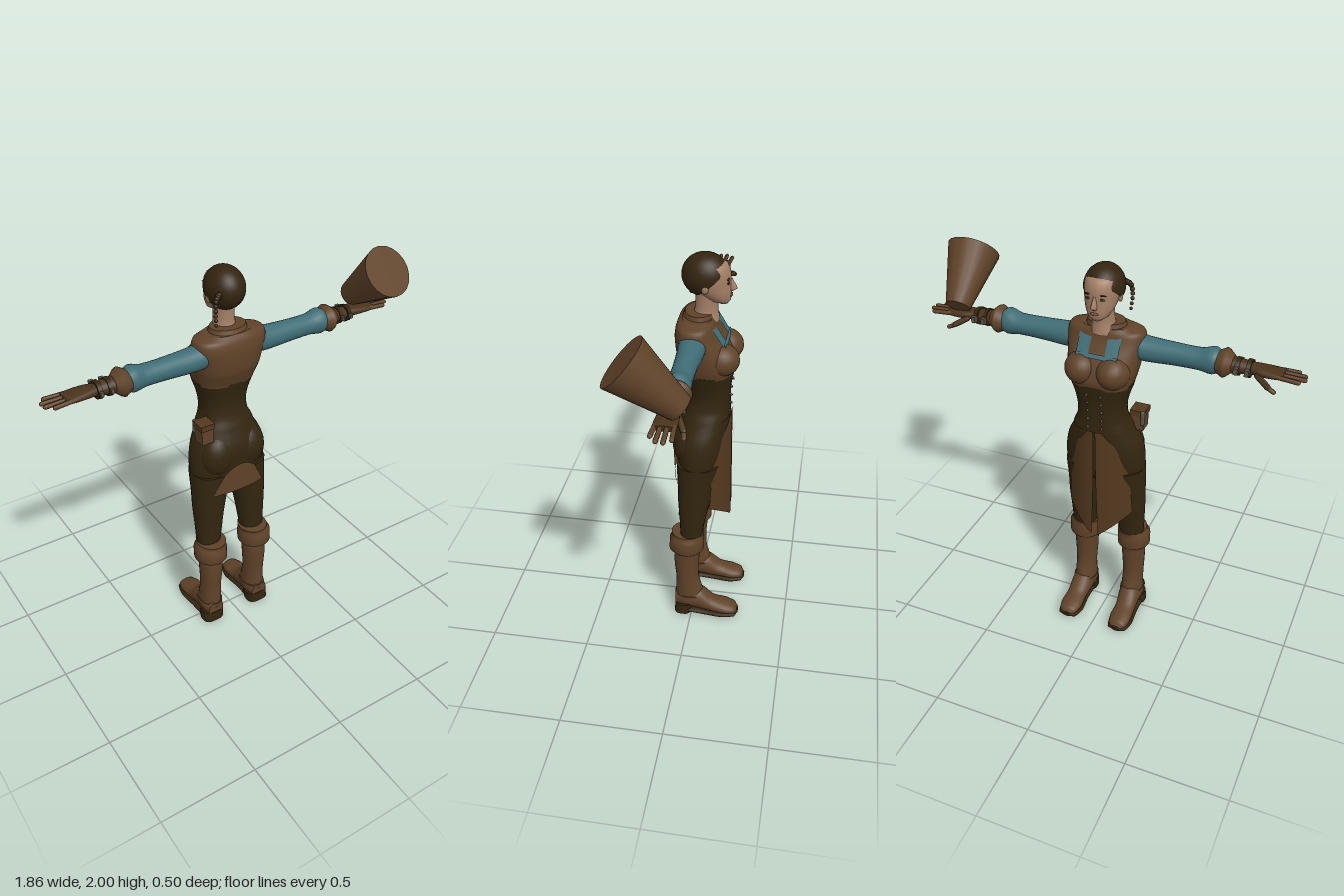
import * as THREE from 'three';

const material = (name, color, side = THREE.FrontSide) => {
  const m = new THREE.MeshStandardMaterial({ color, side });
  m.name = name;
  return m;
};

// Skin of superelliptic rings [t, u0, u1, v0, v1] along an axis (t ascending).
// Axis x: u = y, v = z.  Axis y: u = z, v = x.  Axis z: u = x, v = y.
function loft(axis, rings, { seg = 24, pow = 2, sub = 3 } = {}) {
  const rows = [];
  const at = (i) => rings[Math.max(0, Math.min(rings.length - 1, i))];
  for (let i = 0; i < rings.length - 1; i++) {
    for (let k = 0; k < sub; k++) {
      const f = k / sub;
      rows.push(rings[i].map((p1, c) => {
        const p2 = at(i + 1)[c];
        if (c === 0 || sub === 1) return p1 + (p2 - p1) * f;
        const m1 = (p2 - at(i - 1)[c]) / 2, m2 = (at(i + 2)[c] - p1) / 2;
        const f2 = f * f, f3 = f2 * f;
        return (2 * f3 - 3 * f2 + 1) * p1 + (f3 - 2 * f2 + f) * m1 + (3 * f2 - 2 * f3) * p2 + (f3 - f2) * m2;
      }));
    }
  }
  rows.push(rings[rings.length - 1]);
  const pos = [], idx = [];
  const put = (t, u, v) => pos.push(...(axis === 'x' ? [t, u, v] : axis === 'y' ? [v, t, u] : [u, v, t]));
  const bend = (c) => Math.sign(c) * Math.pow(Math.abs(c), 2 / pow);
  const ring = ([t, u0, u1, v0, v1]) => {
    for (let j = 0; j < seg; j++) {
      const a = (j / seg) * Math.PI * 2;
      put(t, (u0 + u1) / 2 + ((u1 - u0) / 2) * bend(Math.cos(a)), (v0 + v1) / 2 + ((v1 - v0) / 2) * bend(Math.sin(a)));
    }
  };
  rows.forEach(ring);
  for (let i = 0; i < rows.length - 1; i++) {
    for (let j = 0; j < seg; j++) {
      const a = i * seg + j, b = i * seg + ((j + 1) % seg);
      idx.push(a, b, b + seg, a, b + seg, a + seg);
    }
  }
  for (const [r, flip] of [[rows[0], true], [rows[rows.length - 1], false]]) {
    const start = pos.length / 3;
    ring(r);
    put(r[0], (r[1] + r[2]) / 2, (r[3] + r[4]) / 2);
    for (let j = 0; j < seg; j++) {
      const a = start + j, b = start + ((j + 1) % seg);
      idx.push(start + seg, flip ? b : a, flip ? a : b);
    }
  }
  return surface(pos, idx);
}

function surface(pos, idx) {
  const g = new THREE.BufferGeometry();
  g.setAttribute('position', new THREE.Float32BufferAttribute(pos, 3));
  g.setIndex(idx);
  g.computeVertexNormals();
  return g;
}

// Cloth sheet from a rule f(u, v) -> [x, y, z]
function panel(f, n = 12) {
  const pos = [], idx = [];
  for (let i = 0; i <= n; i++) for (let j = 0; j <= n; j++) pos.push(...f(j / n, i / n));
  for (let i = 0; i < n; i++) {
    for (let j = 0; j < n; j++) {
      const a = i * (n + 1) + j, b = a + n + 1;
      idx.push(a, a + 1, b + 1, a, b + 1, b);
    }
  }
  return surface(pos, idx);
}

const ball = (x, y, z, rx, ry = rx, rz = rx) => new THREE.SphereGeometry(1, 20, 14).scale(rx, ry, rz).translate(x, y, z);
const box = (x, y, z, w, h, d) => new THREE.BoxGeometry(w, h, d).translate(x, y, z);

// Round-ended rod from a to b
function rod(a, b, r) {
  const p = new THREE.Vector3(...a), q = new THREE.Vector3(...b), d = q.clone().sub(p);
  const turn = new THREE.Quaternion().setFromUnitVectors(new THREE.Vector3(0, 1, 0), d.clone().normalize());
  const mid = p.add(q).multiplyScalar(0.5);
  return new THREE.CapsuleGeometry(r, d.length(), 4, 10).applyQuaternion(turn).translate(mid.x, mid.y, mid.z);
}

function mirrored(geo) {
  const g = geo.clone().scale(-1, 1, 1), ix = g.index.array;
  for (let i = 0; i < ix.length; i += 3) [ix[i], ix[i + 1]] = [ix[i + 1], ix[i]];
  g.computeVertexNormals();
  return g;
}

export function createModel() {
  const leather = material('brown leather', 0x604329, THREE.DoubleSide);
  const dark = material('dark leather', 0x33260f);
  const hairMat = material('dark hair', 0x33240f, THREE.DoubleSide);
  const teal = material('teal cloth', 0x3f6d76, THREE.DoubleSide);
  const skin = material('skin', 0xa37f66);
  const glove = material('glove leather', 0x4a331c);
  const metal = material('dull metal', 0x5a5347);
  const lip = material('lips', 0x81503f);
  const apronMat = material('apron leather', 0x54391f, THREE.DoubleSide);

  const model = new THREE.Group();
  const add = (name, geo, mat) => {
    const m = new THREE.Mesh(geo, mat);
    m.name = name;
    model.add(m);
  };
  const pair = (name, geo, mat) => {
    add(name + 'Left', geo, mat);
    add(name + 'Right', mirrored(geo), mat);
  };
  const wide = (y, z0, z1, x) => [y, z0, z1, -x, x];

  // Torso
  add('vest', loft('y', [wide(1.435, -0.183, 0.053, 0.15), wide(1.47, -0.19, 0.066, 0.16), wide(1.52, -0.178, 0.085, 0.17),
    wide(1.58, -0.148, 0.092, 0.178), wide(1.64, -0.112, 0.092, 0.186), wide(1.685, -0.095, 0.08, 0.178), wide(1.705, -0.085, 0.06, 0.12)],
  { seg: 36, pow: 2.5 }), leather);
  pair('bust', ball(0.078, 1.515, -0.128, 0.08, 0.078, 0.087), leather);
  add('corset', loft('y', [wide(1.19, -0.168, 0.063, 0.147), wide(1.24, -0.166, 0.043, 0.124), wide(1.3, -0.166, 0.032, 0.118),
    wide(1.37, -0.172, 0.038, 0.13), wide(1.445, -0.186, 0.056, 0.154)], { seg: 36, pow: 2.3 }), dark);
  add('hips', loft('y', [wide(0.84, -0.07, 0.04, 0.15), wide(0.9, -0.125, 0.078, 0.196), wide(1.0, -0.148, 0.09, 0.204),
    wide(1.1, -0.16, 0.094, 0.188), wide(1.2, -0.165, 0.06, 0.142)], { seg: 36, pow: 2.2 }), dark);
  pair('seat', ball(0.085, 1.05, 0.02, 0.095, 0.12, 0.082), dark);
  for (let i = 0; i < 5; i++) pair('corsetStud', ball(0.035, 1.22 + i * 0.045, -0.167 - Math.max(0, i - 2) * 0.006, 0.006), metal);

  // Collar and shirt opening
  add('collar', loft('y', [wide(1.68, -0.1, 0.07, 0.105), wide(1.725, -0.085, 0.05, 0.09)], { sub: 1 }), leather);
  pair('shirtFront', panel((u, v) => {
    const x = 0.04 + u * 0.062, y = 1.69 - v * 0.1;
    return [x, y, -0.116 - (1.64 - y) * 0.6 + x * x * 0.6];
  }, 6), teal);
  add('shirtBand', panel((u, v) => [(u - 0.5) * 0.2, 1.6 - v * 0.018, -0.143 - v * 0.012], 4), teal);

  // Apron in two pointed halves, and the short back flap
  const apronEdge = [0.035, 0.095, 0.13, 0.15, 0.16, 0.165, 0.17];
  pair('apron', panel((u, v) => {
    const k = Math.min(5, Math.floor(v * 6)), edge = THREE.MathUtils.lerp(apronEdge[k], apronEdge[k + 1], v * 6 - k);
    const x = 0.004 + v * v * 0.014 + u * (edge - 0.004 - v * v * 0.014);
    return [x, 1.2 - v * (0.62 - 0.13 * u), -0.176 - 0.006 * v + 3.1 * x * x];
  }), apronMat);
  add('backFlap', panel((u, v) => {
    const s = u * 2 - 1, x = s * (0.09 + 0.06 * v);
    return [x, 1.015 - 0.05 * s * s * (1 - v) - v * (0.16 + 0.012 * s * s), 0.108 - 1.3 * x * x - 0.004 * v];
  }), leather);

  // Legs
  pair('leg', loft('y', [[0.48, -0.05, 0.06, 0.072, 0.195], [0.6, -0.065, 0.064, 0.058, 0.198], [0.72, -0.09, 0.072, 0.042, 0.202],
    [0.83, -0.105, 0.075, 0.02, 0.203], [0.95, -0.13, 0.08, 0.005, 0.204]], { pow: 2.2 }), dark);
  pair('bootShaft', loft('y', [[0.07, -0.06, 0.085, 0.078, 0.198], [0.14, -0.055, 0.088, 0.08, 0.194], [0.22, -0.035, 0.085, 0.082, 0.192],
    [0.33, -0.035, 0.094, 0.075, 0.196], [0.45, -0.045, 0.09, 0.07, 0.2]]), leather);
  pair('bootCuff', loft('y', [[0.415, -0.05, 0.1, 0.062, 0.21], [0.43, -0.062, 0.12, 0.05, 0.222], [0.49, -0.062, 0.116, 0.05, 0.222],
    [0.5, -0.056, 0.1, 0.058, 0.21], [0.525, -0.06, 0.108, 0.052, 0.204]], { sub: 1 }), leather);
  pair('ankleStrap', loft('y', [[0.095, -0.075, 0.093, 0.073, 0.203], [0.12, -0.067, 0.093, 0.074, 0.2]], { sub: 1 }), leather);
  pair('foot', loft('z', [[-0.245, 0.12, 0.165, 0.02, 0.04], [-0.23, 0.1, 0.188, 0.01, 0.06], [-0.18, 0.086, 0.2, 0.01, 0.075],
    [-0.11, 0.09, 0.195, 0.01, 0.095], [-0.045, 0.082, 0.196, 0.015, 0.15], [0.04, 0.08, 0.198, 0.03, 0.16], [0.086, 0.095, 0.185, 0.03, 0.13]]), leather);
  pair('sole', loft('z', [[-0.25, 0.125, 0.16, 0.012, 0.03], [-0.235, 0.095, 0.192, 0.004, 0.03], [-0.17, 0.08, 0.206, 0, 0.028],
    [-0.07, 0.09, 0.198, 0, 0.026], [0.02, 0.085, 0.2, 0.01, 0.035]], { pow: 3 }), dark);
  pair('heel', loft('y', [[0, 0.0, 0.092, 0.084, 0.204], [0.06, -0.01, 0.09, 0.08, 0.2]], { sub: 1, pow: 3 }), dark);

  // Arms, gloves and fingers
  pair('sleeve', loft('x', [[0.13, 1.55, 1.675, -0.07, 0.06], [0.2, 1.545, 1.662, -0.066, 0.056], [0.33, 1.55, 1.656, -0.056, 0.05],
    [0.45, 1.552, 1.655, -0.056, 0.05], [0.51, 1.543, 1.672, -0.062, 0.06], [0.545, 1.558, 1.655, -0.05, 0.05]]), teal);
  pair('gloveCuff', loft('x', [[0.525, 1.558, 1.655, -0.055, 0.055], [0.56, 1.54, 1.675, -0.075, 0.075], [0.572, 1.545, 1.67, -0.07, 0.07],
    [0.6, 1.57, 1.645, -0.045, 0.045]], { sub: 1 }), leather);
  pair('bracer', loft('x', [[0.57, 1.565, 1.645, -0.05, 0.045], [0.64, 1.572, 1.64, -0.042, 0.038], [0.7, 1.582, 1.632, -0.036, 0.032]]), glove);
  for (const x of [0.615, 0.665]) {
    pair('wristStrap', loft('x', [[x, 1.562, 1.646, -0.053, 0.047], [x + 0.02, 1.564, 1.644, -0.05, 0.045]], { sub: 1 }), dark);
    pair('strapBuckle', box(x + 0.01, 1.607, -0.058, 0.02, 0.03, 0.02), metal);
    pair('strapStud', box(x + 0.01, 1.607, 0.05, 0.016, 0.02, 0.016), metal);
  }
  pair('palm', loft('x', [[0.68, 1.584, 1.632, -0.036, 0.032], [0.73, 1.586, 1.63, -0.052, 0.04], [0.79, 1.59, 1.625, -0.056, 0.045],
    [0.83, 1.594, 1.62, -0.054, 0.044]], { pow: 2.4 }), glove);
  [[-0.044, 0.9], [-0.017, 0.922], [0.01, 0.918], [0.034, 0.885]].forEach(([z, tip]) =>
    pair('finger', rod([0.81, 1.608, z], [tip, 1.605, z * 1.15], 0.0105), leather));
  pair('thumb', rod([0.72, 1.597, -0.045], [0.775, 1.568, -0.074], 0.014), glove);
  pair('thumbTip', rod([0.77, 1.568, -0.073], [0.805, 1.553, -0.08], 0.0105), leather);

  // Head
  add('neck', loft('y', [wide(1.68, -0.11, 0.025, 0.062), wide(1.74, -0.1, 0.005, 0.05), wide(1.83, -0.105, 0.005, 0.05)]), skin);
  add('face', loft('y', [wide(1.768, -0.145, -0.1, 0.022), wide(1.785, -0.157, -0.06, 0.047), wide(1.82, -0.16, -0.01, 0.067),
    wide(1.86, -0.158, 0.02, 0.077), wide(1.91, -0.157, 0.03, 0.08), wide(1.95, -0.142, 0.03, 0.072), wide(1.98, -0.1, 0.01, 0.045)]), skin);
  add('nose', loft('y', [wide(1.828, -0.168, -0.14, 0.011), wide(1.841, -0.186, -0.14, 0.014), wide(1.888, -0.162, -0.14, 0.006)], { seg: 12 }), skin);
  pair('ear', ball(0.08, 1.862, -0.05, 0.01, 0.026, 0.017), skin);
  pair('eye', ball(0.032, 1.876, -0.149, 0.014, 0.006, 0.005), dark);
  pair('eyebrow', ball(0.034, 1.896, -0.149, 0.019, 0.0035, 0.005), hairMat);
  add('mouth', ball(0, 1.808, -0.16, 0.021, 0.007, 0.006), lip);
  add('hair', new THREE.SphereGeometry(1, 32, 20, 0, Math.PI * 2, 0, Math.PI * 0.63).rotateX(0.76)
    .scale(0.093, 0.102, 0.108).translate(0, 1.898, -0.041), hairMat);

  // Side braid of shrinking beads
  const braid = new THREE.CatmullRomCurve3([[-0.07, 1.9, 0.025], [-0.092, 1.885, 0.038], [-0.1, 1.83, 0.045], [-0.095, 1.765, 0.04]]
    .map((p) => new THREE.Vector3(...p)));
  for (let i = 0; i < 9; i++) {
    const p = braid.getPoint(i / 8);
    add('braid', ball(p.x, p.y, p.z, 0.015 - i * 0.0009), hairMat);
  }

  // Hip pouch
  add('pouch', box(-0.155, 1.205, 0.02, 0.065, 0.095, 0.07), leather);
  add('pouchFlap', box(-0.157, 1.25, 0.02, 0.075, 0.03, 0.08), apronMat);
  add('pouchVial', rod([-0.185, 1.2, -0.02], [-0.185, 1.26, -0.02], 0.01), metal);

  // Tapered bucket tilted back above the hand
  const wideEnd = new THREE.Vector3(0.778, 1.86, 0.165), narrowEnd = new THREE.Vector3(0.757, 1.662, -0.06);
  const axis = wideEnd.clone().sub(narrowEnd), centre = wideEnd.clone().add(narrowEnd).multiplyScalar(0.5);
  add('bucket', new THREE.CylinderGeometry(0.128, 0.06, axis.length(), 20)
    .applyQuaternion(new THREE.Quaternion().setFromUnitVectors(new THREE.Vector3(0, 1, 0), axis.normalize()))
    .translate(centre.x, centre.y, centre.z), leather);

  return model;
}
